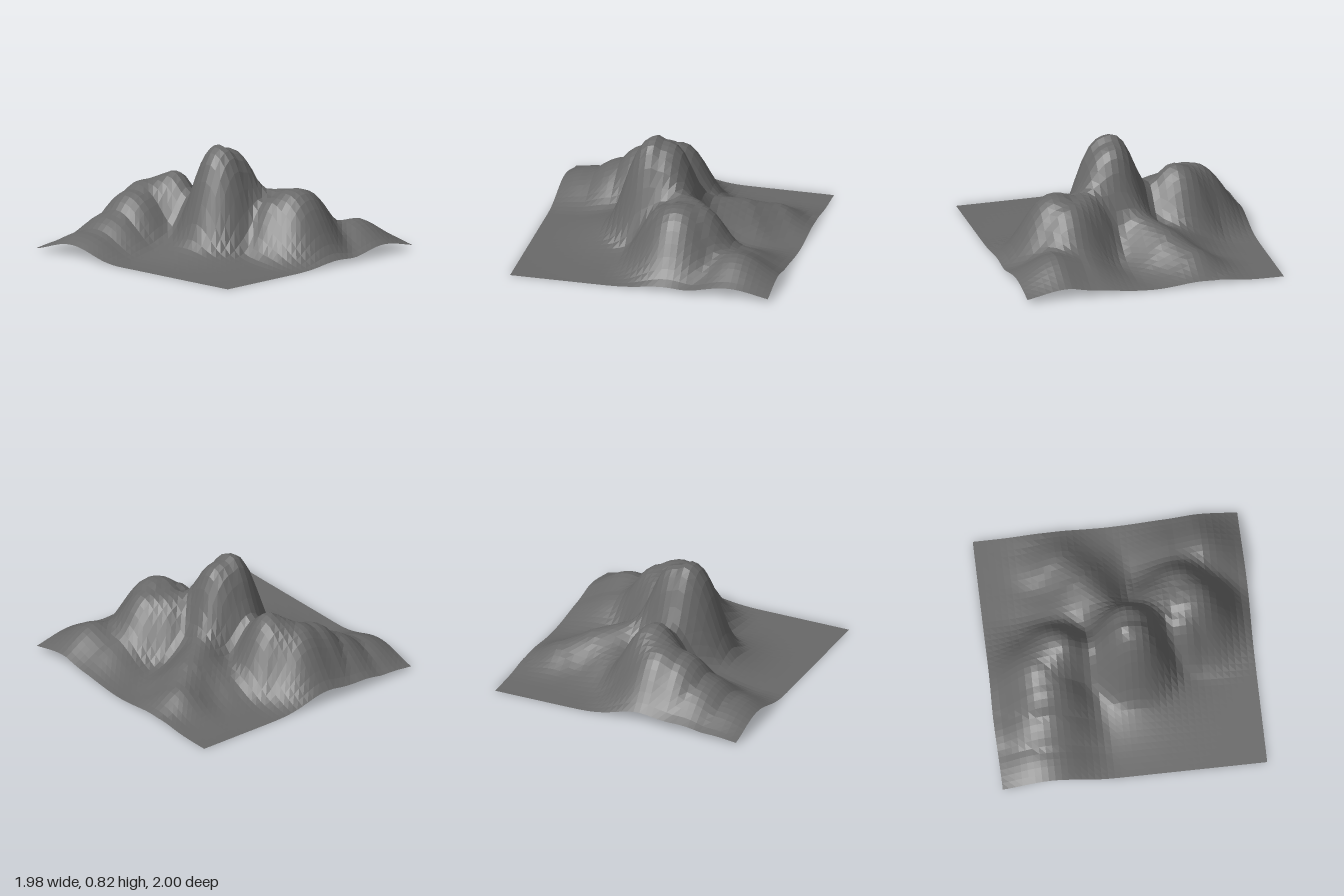
import * as THREE from 'three';

// Each ridge is a path of [x, z, height, radius] stations and a falloff power.
const ridges = [
  { power: 3, path: [[-0.1, 0.08, 0.79, 0.285], [-0.04, 0.08, 0.75, 0.29]] }, // main summit
  { power: 2, path: [[-0.16, 0.03, 0.2, 0.38]] },                         // summit skirt
  { power: 2, path: [[-0.09, 0, 0.39, 0.2], [-0.09, -0.36, 0.34, 0.22]] }, // saddle to back peak
  { power: 2.6, path: [[-0.07, -0.49, 0.52, 0.28], [-0.2, -0.6, 0.47, 0.32], [-0.33, -0.59, 0.42, 0.32],
    [-0.5, -0.61, 0.28, 0.33], [-0.75, -0.63, 0.16, 0.31], [-1.1, -0.64, 0.01, 0.3]] }, // back peak and left spur
  { power: 2.8, path: [[0.1, 0.48, 0.46, 0.26], [0.2, 0.54, 0.51, 0.32],
    [0.3, 0.48, 0.48, 0.3], [0.22, 0.38, 0.48, 0.29]] },                  // front peak
  { power: 2, path: [[0.66, 0.5, 0.18, 0.28], [0.68, 0.68, 0.235, 0.3]] }, // front shoulder
  { power: 2, path: [[0.1, 0, 0.4, 0.23], [0.3, -0.1, 0.3, 0.23],
    [0.5, -0.22, 0.25, 0.24], [0.7, -0.36, 0.17, 0.22], [0.88, -0.48, 0.04, 0.18]] }, // right spur
  { power: 2, path: [[0.3, -0.35, 0.16, 0.26]] },                         // hollow behind the spur
];

// Height of one ridge: falloff from the nearest point of its path
function ridgeHeight({ path, power }, x, z) {
  let best = 0;
  for (let i = 0; i < Math.max(1, path.length - 1); i++) {
    const a = path[i], b = path[i + 1] ?? a;
    const dx = b[0] - a[0], dz = b[1] - a[1];
    const len2 = dx * dx + dz * dz || 1;
    const t = THREE.MathUtils.clamp(((x - a[0]) * dx + (z - a[1]) * dz) / len2, 0, 1);
    const [px, pz, h, r] = a.map((v, k) => v + (b[k] - v) * t);
    best = Math.max(best, h * Math.exp(-Math.pow(Math.hypot(x - px, z - pz) / r, power)));
  }
  return best;
}

// Ridges blend with a soft maximum
const height = (x, z) =>
  Math.cbrt(ridges.reduce((sum, ridge) => sum + ridgeHeight(ridge, x, z) ** 3, 0));

export function createModel() {
  const group = new THREE.Group();
  group.name = 'landscape';
  const rock = new THREE.MeshStandardMaterial({
    name: 'dark grey rock', color: 0x696969, flatShading: true, side: THREE.DoubleSide,
  });

  // Open sheet of ground raised into hills
  const ground = new THREE.PlaneGeometry(1.98, 1.98, 40, 40).rotateX(-Math.PI / 2);
  const pos = ground.attributes.position;
  for (let i = 0; i < pos.count; i++) {
    const x = pos.getX(i), z = pos.getZ(i);
    pos.setY(i, height(x, z));
    // The rim bows out a little where a ridge crosses it
    if (z < -0.98) pos.setZ(i, z - 0.01 * Math.exp(-(((x + 0.45) / 0.3) ** 2)));
    if (z > 0.98) pos.setZ(i, z + 0.01 * Math.exp(-(((x - 0.4) / 0.3) ** 2)));
  }
  ground.computeBoundingBox();
  ground.translate(0, -ground.boundingBox.min.y, 0);
  ground.computeVertexNormals();

  const terrain = new THREE.Mesh(ground, rock);
  terrain.name = 'terrain';
  group.add(terrain);
  return group;
}
